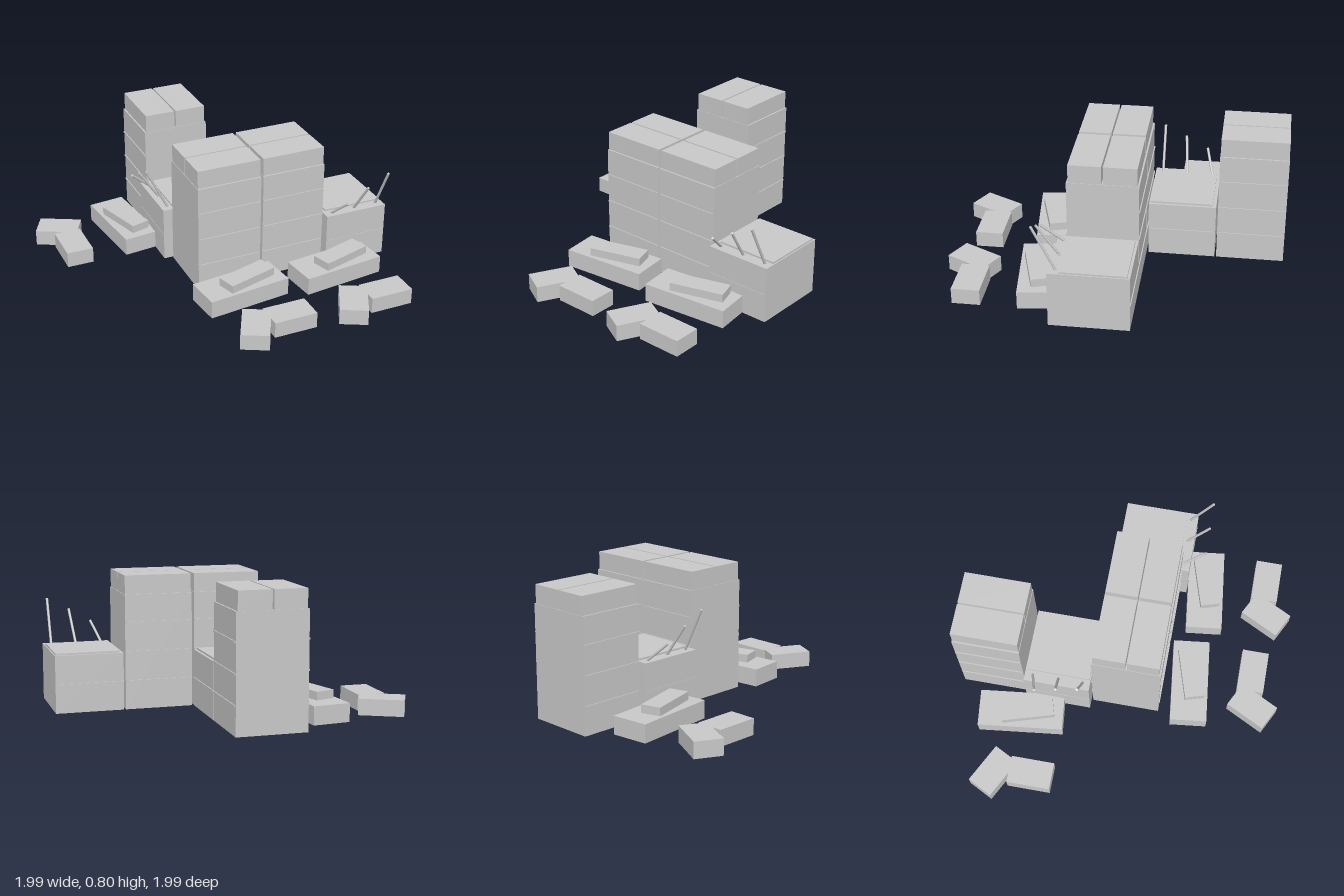
import * as THREE from 'three';

const stone = new THREE.MeshStandardMaterial({ color: 0xc8c8c8 });
stone.name = 'pale grey';

// Box given by its minimum and maximum corners
function block(name, x0, x1, y0, y1, z0, z1) {
  const mesh = new THREE.Mesh(new THREE.BoxGeometry(x1 - x0, y1 - y0, z1 - z0), stone);
  mesh.name = name;
  mesh.position.set((x0 + x1) / 2, (y0 + y1) / 2, (z0 + z1) / 2);
  return mesh;
}

// Box lying at a height, turned about the vertical axis
function turnedBlock(name, x, y, z, length, height, width, angle) {
  const mesh = new THREE.Mesh(new THREE.BoxGeometry(length, height, width), stone);
  mesh.name = name;
  mesh.position.set(x, y + height / 2, z);
  mesh.rotation.y = angle;
  return mesh;
}

// Thin course ribs on the front and back faces
function addRibs(group, halfWidth, heights, front, back) {
  for (const y of heights) {
    group.add(block('frontRib', -halfWidth, halfWidth, y - 0.005, y + 0.005, front - 0.004, front + 0.006));
    group.add(block('backRib', -halfWidth, halfWidth, y - 0.005, y + 0.005, back - 0.006, back + 0.004));
  }
}

// Tall stack with a split cap
function tallStack(x) {
  const g = new THREE.Group();
  g.name = 'tallStack';
  g.add(block('stackBody', -0.203, 0.203, 0, 0.685, -0.156, 0.262));
  addRibs(g, 0.2, [0.17, 0.345, 0.52], 0.262, -0.156);
  g.add(block('rearCap', -0.2, 0.2, 0.685, 0.797, -0.146, 0.05));
  g.add(block('frontCap', -0.2, 0.2, 0.685, 0.797, 0.06, 0.252));
  g.position.x = x;
  return g;
}

// Slim rod between two points
function rod(a, b) {
  const from = new THREE.Vector3(...a), to = new THREE.Vector3(...b);
  const dir = to.clone().sub(from);
  const mesh = new THREE.Mesh(new THREE.CylinderGeometry(0.008, 0.008, dir.length(), 8), stone);
  mesh.name = 'rod';
  mesh.position.copy(from).add(to).multiplyScalar(0.5);
  mesh.quaternion.setFromUnitVectors(new THREE.Vector3(0, 1, 0), dir.normalize());
  return mesh;
}

// Low stack with a top slab and three leaning rods
function lowStack(x) {
  const g = new THREE.Group();
  g.name = 'lowStack';
  g.add(block('lowBody', -0.203, 0.203, 0, 0.342, -0.156, 0.308));
  addRibs(g, 0.2, [0.17], 0.304, -0.156);
  g.add(block('topSlab', -0.182, 0.196, 0.342, 0.353, -0.14, 0.238));
  g.add(rod([-0.155, 0.335, 0.26], [-0.112, 0.458, 0.395]));
  g.add(rod([0.005, 0.335, 0.26], [0.023, 0.537, 0.395]));
  g.add(rod([0.157, 0.335, 0.26], [0.157, 0.608, 0.395]));
  g.position.x = x;
  return g;
}

// Loose blocks on the ground in front of the wall
function looseBlocks(dx) {
  const g = new THREE.Group();
  g.name = 'looseBlocks';
  g.add(turnedBlock('wideBlock', 0.578, 0, 0.43, 0.528, 0.11, 0.228, 0.115));
  g.add(turnedBlock('smallBlock', 0.618, 0.11, 0.43, 0.327, 0.05, 0.122, 0.29));
  g.add(block('bentBlockStraight', 0.58, 0.848, 0, 0.098, 0.73, 0.897));
  g.add(turnedBlock('bentBlockTurned', 0.485, 0, 0.842, 0.265, 0.098, 0.168, 1.1));
  g.position.x = dx;
  return g;
}

export function createModel() {
  const model = new THREE.Group();
  model.name = 'cornerWall';

  // Front wall
  model.add(tallStack(-0.05), tallStack(0.37), lowStack(0.787));
  model.add(looseBlocks(-0.63), looseBlocks(0));

  // Side wall, turned to face the right
  const wing = new THREE.Group();
  wing.name = 'sideWall';
  wing.add(tallStack(0.37), lowStack(0.787), looseBlocks(0));
  wing.rotation.y = -Math.PI / 2;
  wing.position.z = -1.157;
  model.add(wing);

  return model;
}
